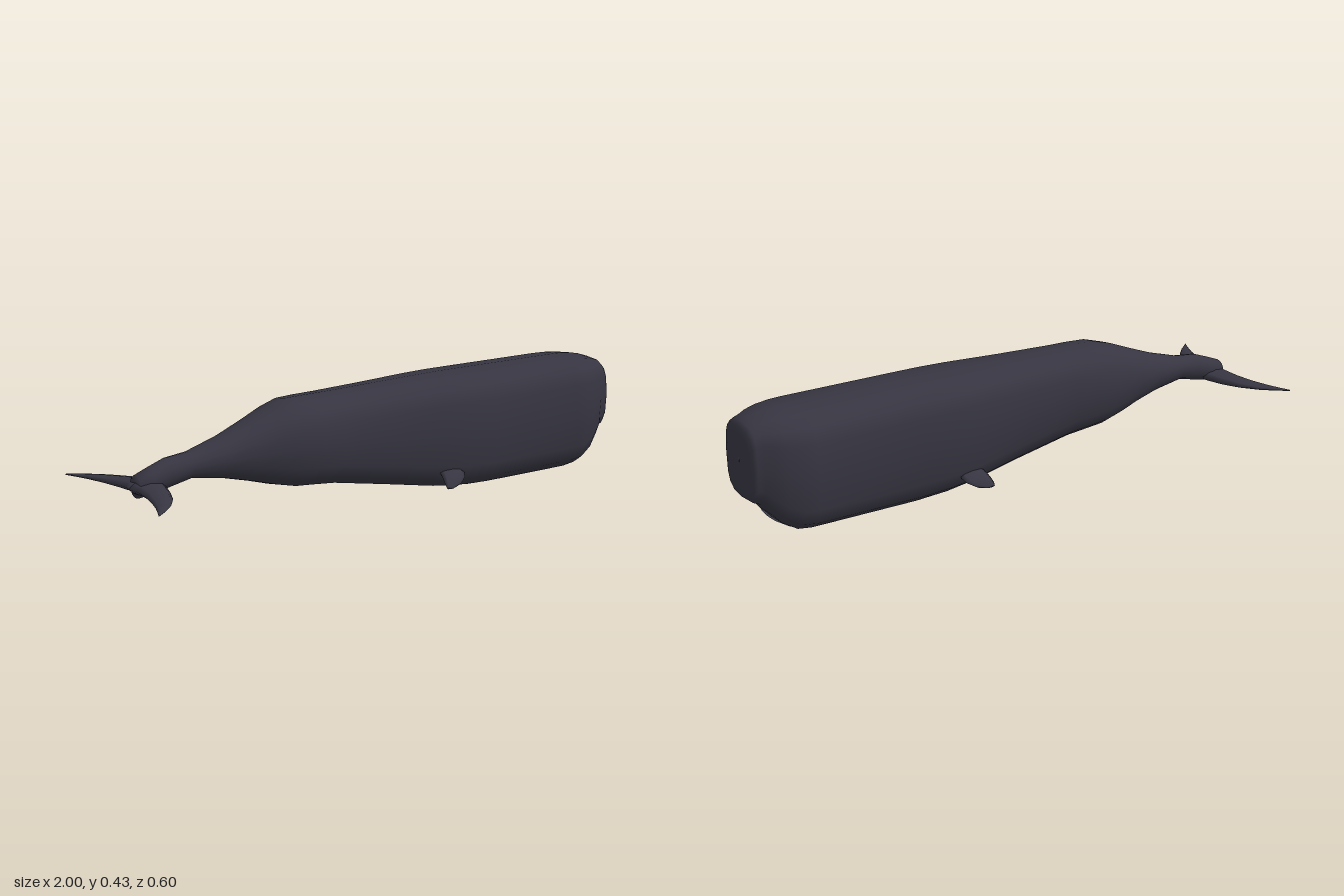
import * as THREE from 'three';

// Skin a list of closed rings (arrays of [x, y, z]) and close both ends
function loft(rings, flip = false) {
  const n = rings[0].length, pos = rings.flat(2), idx = [];
  const tri = (a, b, c) => (flip ? idx.push(a, c, b) : idx.push(a, b, c));
  for (let i = 0; i < rings.length - 1; i++) {
    for (let j = 0; j < n; j++) {
      const a = i * n + j, b = i * n + (j + 1) % n;
      tri(a, b, a + n);
      tri(b, b + n, a + n);
    }
  }
  [0, rings.length - 1].forEach((r) => {
    const centre = pos.length / 3;
    for (let k = 0; k < 3; k++) pos.push(rings[r].reduce((s, p) => s + p[k], 0) / n);
    for (let j = 0; j < n; j++) {
      const a = r * n + j, b = r * n + (j + 1) % n;
      if (r) tri(centre, a, b); else tri(centre, b, a);
    }
  });
  const g = new THREE.BufferGeometry();
  g.setAttribute('position', new THREE.Float32BufferAttribute(pos, 3));
  g.setIndex(idx);
  g.computeVertexNormals();
  return g;
}

// Sixteen-sided rounded box section, starting at the top and turning toward +z
const QUARTER = [[0, 1], [0.55, 0.95], [0.82, 0.8], [0.95, 0.55]];
const SECTION = [
  ...QUARTER,
  [1, 0], ...QUARTER.slice(1).reverse().map(([z, y]) => [z, -y]),
  ...QUARTER.map(([z, y]) => [-z, -y]),
  [-1, 0], ...QUARTER.slice(1).reverse().map(([z, y]) => [-z, y]),
];

// Body stations: x, top, bottom, half width, boxiness
const BODY = [
  [-0.91, 0.235, 0.162, 0.035, 0.3], [-0.86, 0.255, 0.168, 0.039, 0.1],
  [-0.8, 0.277, 0.18, 0.04, 0], [-0.72, 0.285, 0.198, 0.045, 0],
  [-0.6, 0.32, 0.18, 0.07, 0], [-0.5, 0.358, 0.155, 0.092, 0.2],
  [-0.42, 0.39, 0.132, 0.115, 0.3], [-0.35, 0.41, 0.116, 0.13, 0.4],
  [-0.28, 0.412, 0.112, 0.136, 0.5], [-0.2, 0.413, 0.105, 0.133, 0.6],
  [0, 0.418, 0.07, 0.14, 0.8], [0.2, 0.423, 0.035, 0.157, 1],
  [0.3, 0.425, 0.022, 0.163, 1], [0.42, 0.425, 0.016, 0.165, 1],
  [0.8, 0.425, 0.016, 0.164, 1], [0.85, 0.424, 0.022, 0.16, 1],
  [0.9, 0.42, 0.053, 0.148, 1], [0.94, 0.412, 0.097, 0.13, 1],
  [0.962, 0.405, 0.127, 0.113, 1], [0.984, 0.398, 0.136, 0.107, 1],
  [0.996, 0.386, 0.146, 0.1, 1], [1, 0.365, 0.168, 0.082, 1],
];

function bodyRing([x, top, bottom, halfWidth, box]) {
  return SECTION.map(([z, y], i) => {
    const t = (i / SECTION.length) * Math.PI * 2;
    return [x,
      (top + bottom) / 2 + (top - bottom) / 2 * THREE.MathUtils.lerp(Math.cos(t), y, box),
      halfWidth * THREE.MathUtils.lerp(Math.sin(t), z, box)];
  });
}

// Fin from stations [leading x, trailing x, y, z, half thickness] going outward
function finGeometry(stations, side) {
  const rings = stations.map(([lead, trail, y, z, h]) =>
    Array.from({ length: 8 }, (_, i) => {
      const t = (i / 8) * Math.PI * 2;
      return [(lead + trail) / 2 + (lead - trail) / 2 * Math.cos(t), y + h * Math.sin(t), side * z];
    }));
  return loft(rings, side < 0);
}

const FLUKE = [
  [-0.81, -0.935, 0.195, 0, 0.022], [-0.822, -0.925, 0.193, 0.04, 0.02],
  [-0.843, -0.931, 0.191, 0.1, 0.017], [-0.872, -0.947, 0.19, 0.165, 0.012],
  [-0.914, -0.967, 0.19, 0.225, 0.008], [-0.954, -0.984, 0.19, 0.265, 0.005],
  [-0.997, -1, 0.19, 0.3, 0.002],
];
const FLIPPER = [
  [0.28, 0.19, 0.105, 0.135, 0.012], [0.283, 0.185, 0.095, 0.155, 0.013],
  [0.272, 0.18, 0.083, 0.172, 0.012], [0.248, 0.177, 0.071, 0.185, 0.01],
  [0.212, 0.178, 0.061, 0.193, 0.004],
];

// Lower jaw stations: x, upper y, underside y, half width
const JAW = [
  [0.4, 0.025, 0.003, 0.05], [0.5, 0.025, 0, 0.053], [0.8, 0.025, 0, 0.052],
  [0.845, 0.035, 0.009, 0.036], [0.885, 0.06, 0.034, 0.023],
  [0.91, 0.08, 0.056, 0.022], [0.925, 0.086, 0.074, 0.024],
];

// Shallow trough section whose upper side stays hidden in the head
function jawRing([x, top, bottom, halfWidth]) {
  return Array.from({ length: 12 }, (_, i) => {
    const t = (i / 12) * Math.PI * 2, c = Math.cos(t);
    return [x, top + (c < 0 ? c * (top - bottom) : 0), halfWidth * Math.sin(t)];
  });
}

export function createModel() {
  const whale = new THREE.Group();
  whale.name = 'whale';
  const skin = new THREE.MeshStandardMaterial({ color: 0x363541 });
  skin.name = 'dark slate skin';
  const pale = new THREE.MeshStandardMaterial({ color: 0x77778e });
  pale.name = 'pale jaw grey';
  const add = (name, geometry, material) => {
    const mesh = new THREE.Mesh(geometry, material);
    mesh.name = name;
    whale.add(mesh);
    return mesh;
  };

  add('body', loft(BODY.map(bodyRing)), skin);

  // Narrow jaw under the head, curling up at the front
  add('lowerJaw', loft(JAW.map(jawRing)), pale);

  // Paired fins
  for (const [label, side] of [['left', -1], ['right', 1]]) {
    add(label + 'TailFluke', finGeometry(FLUKE, side), skin);
    add(label + 'Flipper', finGeometry(FLIPPER, side), skin);
  }

  // Small blowhole bump on the flat snout
  const blowhole = add('blowhole', new THREE.SphereGeometry(1, 10, 8), skin);
  blowhole.scale.set(0.004, 0.011, 0.007);
  blowhole.position.set(0.998, 0.272, 0);
  return whale;
}
